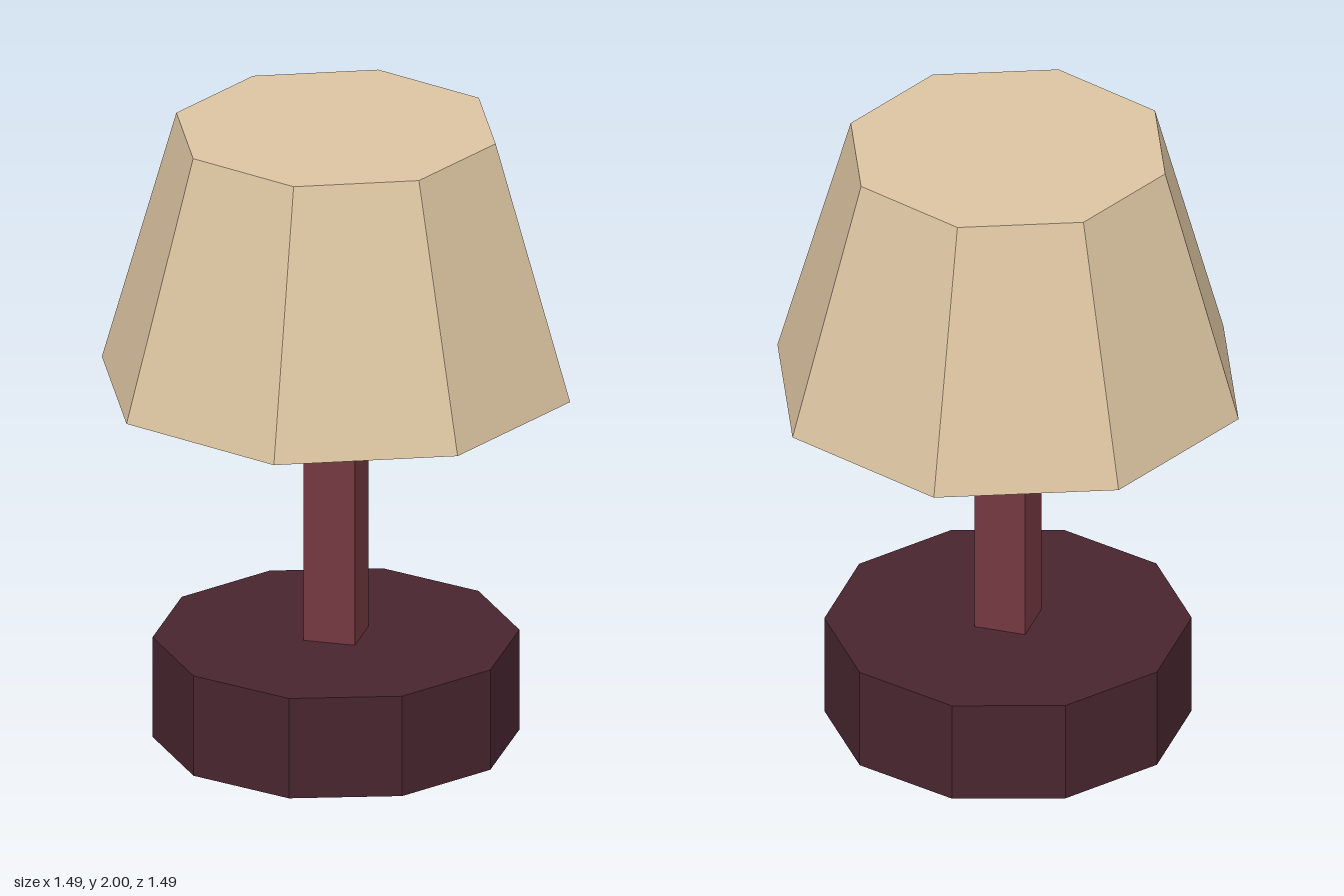
import * as THREE from 'three';

export function createModel() {
  const group = new THREE.Group();
  group.name = 'tableLamp';

  const material = (name, color) => {
    const m = new THREE.MeshStandardMaterial({ color });
    m.name = name;
    m.flatShading = true;
    return m;
  };
  const add = (name, geometry, mat, bottom, top) => {
    const mesh = new THREE.Mesh(geometry, mat);
    mesh.name = name;
    mesh.position.y = (bottom + top) / 2;
    group.add(mesh);
  };

  // Heights where the parts meet
  const baseTop = 0.33, shadeBottom = 1.17, shadeTop = 2;

  // Ten-sided foot
  add('base', new THREE.CylinderGeometry(0.565, 0.565, baseTop, 10),
    material('dark plum', 0x48252f), 0, baseTop);

  // Square post
  add('post', new THREE.BoxGeometry(0.163, shadeBottom - baseTop, 0.163),
    material('red brown', 0x73383f), baseTop, shadeBottom);

  // Closed eight-sided tapering shade
  add('shade', new THREE.CylinderGeometry(0.508, 0.745, shadeTop - shadeBottom, 8),
    material('warm beige', 0xdcc4a1), shadeBottom, shadeTop);

  return group;
}
